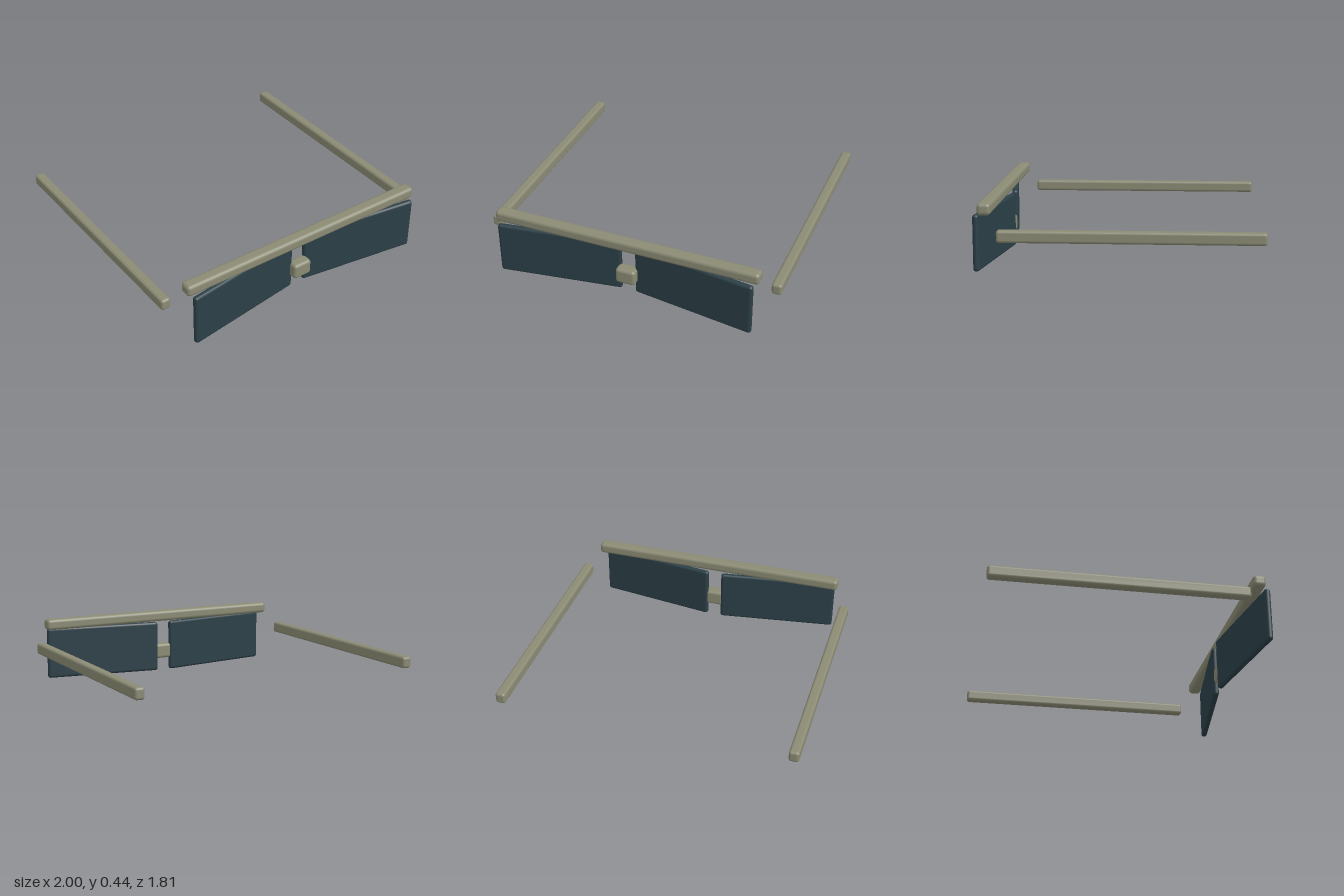
import * as THREE from 'three';
import { RoundedBoxGeometry } from 'three/addons/geometries/RoundedBoxGeometry.js';

export function createModel() {
  const model = new THREE.Group();
  model.name = 'sunglasses';

  const frame = new THREE.MeshStandardMaterial({ color: 0x8a8a74 });
  frame.name = 'olive grey frame';
  const tint = new THREE.MeshStandardMaterial({ color: 0x2b3f47 });
  tint.name = 'dark teal lens';

  // Rounded block given by size and centre
  function block(name, size, centre, radius, material) {
    const mesh = new THREE.Mesh(new RoundedBoxGeometry(...size, 4, radius), material);
    mesh.name = name;
    mesh.position.set(...centre);
    model.add(mesh);
    return mesh;
  }

  // Brow bar across the top and nose bridge between the lenses
  block('browBar', [1.79, 0.077, 0.086], [0, 0.399, 0.827], 0.024, frame);
  block('noseBridge', [0.135, 0.108, 0.086], [0, 0.141, 0.802], 0.022, frame);

  for (const side of [1, -1]) {
    const label = side > 0 ? 'left' : 'right';
    // Lens, swept forward at its outer end
    const lens = block(label + 'Lens', [0.826, 0.362, 0.04], [side * 0.457, 0.181, 0.828], 0.0185, tint);
    lens.rotation.y = -side * 0.14;
    // Straight temple arm
    block(label + 'Temple', [0.067, 0.077, 1.64], [side * 0.9665, 0.252, -0.085], 0.018, frame);
  }
  return model;
}
